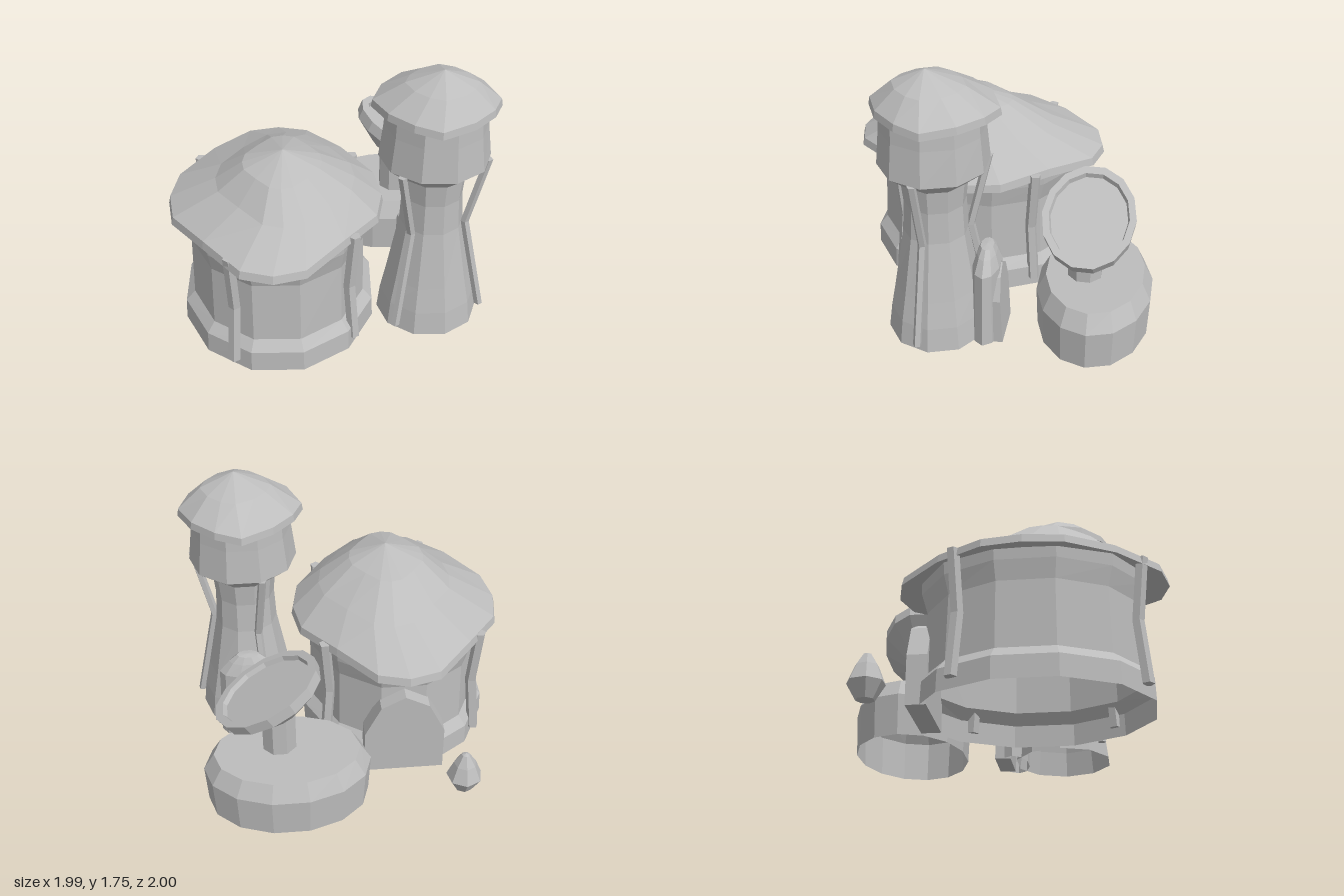
import * as THREE from 'three';

const stone = new THREE.MeshStandardMaterial({ color: 0xbdbdbd, flatShading: true, side: THREE.DoubleSide });
stone.name = 'plain grey';

// Unit outline of a regular polygon
const polygon = (n, phase = 0) => Array.from({ length: n }, (_, i) => {
  const a = ((i + phase) / n) * Math.PI * 2;
  return [Math.cos(a), Math.sin(a)];
});

// Unit outline made by turning a quarter four times
const fourfold = (quarter) => [0, 1, 2, 3].flatMap((k) => quarter.map(([x, z]) =>
  [[x, z], [-z, x], [-x, -z], [z, -x]][k]));

// Joins rings of equal point count, listed from bottom to top
function loft(name, rings) {
  const n = rings[0].length, index = [];
  for (let i = 0; i < rings.length - 1; i++) {
    for (let j = 0; j < n; j++) {
      const a = i * n + j, b = i * n + (j + 1) % n;
      index.push(a, a + n, b, b, a + n, b + n);
    }
  }
  const indexed = new THREE.BufferGeometry();
  indexed.setAttribute('position', new THREE.Float32BufferAttribute(rings.flat(2), 3));
  indexed.setIndex(index);
  const geometry = indexed.toNonIndexed();
  geometry.computeVertexNormals();
  const mesh = new THREE.Mesh(geometry, stone);
  mesh.name = name;
  return mesh;
}

// Stacks an outline along a profile of [y, rx, rz]
const turned = (name, outline, cx, cz, profile) => loft(name, profile.map(([y, rx, rz = rx]) =>
  outline.map(([x, z]) => [cx + x * rx, y, cz + z * rz])));

// Roof with a wavy rim: rows of [scale, y, centre x, centre z, wave]
const roof = (name, outline, rx, rz, rows) => loft(name, rows.map(([s, y, cx, cz, wave]) =>
  outline.map(([x, z]) => [cx + x * rx * s, y + wave * (1 - Math.hypot(x, z)), cz + z * rz * s])));

// Bent five-sided post through three points
function post(name, radius, points) {
  const outline = polygon(5, 0.3);
  const rings = points.map(([x, y, z]) => outline.map(([u, v]) => [x + u * radius, y, z + v * radius]));
  const tip = ([x, y, z]) => outline.map(() => [x, y, z]);
  return loft(name, [tip(points[0]), ...rings, tip(points[points.length - 1])]);
}

// Pointed arch slab facing the back
function archDoor(name, cx, z, depth, half, shoulder, peak) {
  const shape = new THREE.Shape([
    [-half, 0], [half, 0], [half, shoulder], [half * 0.6, shoulder + (peak - shoulder) * 0.72],
    [0, peak], [-half * 0.6, shoulder + (peak - shoulder) * 0.72], [-half, shoulder],
  ].map(([x, y]) => new THREE.Vector2(x, y)));
  const mesh = new THREE.Mesh(new THREE.ExtrudeGeometry(shape, { depth, bevelEnabled: false }), stone);
  mesh.name = name;
  mesh.position.set(cx, 0, z);
  return mesh;
}

function createHut() {
  const hut = new THREE.Group();
  hut.name = 'hut';
  hut.add(turned('hutWall', polygon(12, 0.5).map(([x, z]) => [x * 1.025, z * 1.025]), -0.333, 0.2, [
    [0, 0.597, 0.69], [0.135, 0.592, 0.685], [0.2, 0.535, 0.635], [0.6, 0.53, 0.62],
    [0.72, 0.55, 0.655], [0.8, 0.555, 0.66],
  ]));
  const outline = fourfold([[1, 0], [0.94, 0.29], [0.63, 0.63], [0.29, 0.94]]);
  hut.add(roof('hutRoof', outline, 0.66, 0.805, [
    [0.8, 0.79, -0.34, 0.195, 0.2], [1, 0.76, -0.34, 0.195, 0.25], [0.985, 0.81, -0.34, 0.195, 0.25],
    [0.64, 0.965, -0.28, 0.23, 0.1], [0.36, 1.11, -0.295, 0.275, 0], [0, 1.2, -0.29, 0.285, 0],
  ]));
  // Posts lean in at the middle
  for (const [x, z] of [[-0.595, 0.84], [0.13, 0.64], [0.14, -0.23], [-0.83, -0.21]]) {
    const mx = -0.333 + (x + 0.333) * 0.94, mz = 0.2 + (z - 0.2) * 0.94;
    hut.add(post('hutPost', 0.037, [[x, 0.06, z], [mx, 0.44, mz], [x, 0.825, z]]));
  }
  hut.add(archDoor('hutDoor', -0.333, -0.505, 0.12, 0.25, 0.3, 0.585));
  return hut;
}

function createTower() {
  const tower = new THREE.Group();
  tower.name = 'tower';
  const cx = 0.61, cz = 0.29;
  tower.add(turned('towerWall', polygon(10), cx, cz, [
    [0, 0.318, 0.305], [0.155, 0.3, 0.285], [0.325, 0.265, 0.255], [0.7, 0.195], [0.9, 0.185],
    [1.05, 0.2], [1.16, 0.335, 0.328], [1.38, 0.308], [1.52, 0.3],
  ]));
  const outline = fourfold([[1, 0], [0.84, 0.41], [0.5, 0.78]]);
  tower.add(roof('towerRoof', outline, 0.382, 0.382, [
    [0.78, 1.5, 0.608, 0.275, 0], [1, 1.485, 0.608, 0.275, 0.2], [0.98, 1.53, 0.608, 0.275, 0.2],
    [0.56, 1.655, 0.63, 0.3, 0], [0, 1.745, 0.637, 0.32, 0],
  ]));
  // Three braces around the shaft
  for (const degrees of [10, 130, 250]) {
    const a = THREE.MathUtils.degToRad(degrees);
    tower.add(post('towerBrace', 0.027, [[0.335, 0.06], [0.208, 0.7], [0.32, 1.16]].map(([r, y]) =>
      [cx + Math.cos(a) * r, y, cz + Math.sin(a) * r])));
  }
  // Rounded porch with a flat door
  tower.add(turned('porch', polygon(10), 0.615, -0.02, [
    [0, 0.195, 0.09], [0.49, 0.185, 0.085], [0.57, 0.12, 0.06], [0.615, 0.07, 0.04], [0.62, 0, 0],
  ]));
  const door = archDoor('towerDoor', 0.61, -0.135, 0.1, 0.145, 0.3, 0.49);
  door.rotation.x = 0.05;
  tower.add(door);
  return tower;
}

function createDishStand() {
  const stand = new THREE.Group();
  stand.name = 'dishStand';
  stand.add(turned('dishBase', polygon(14), 0.405, -0.65, [
    [0, 0.495, 0.345], [0.25, 0.51, 0.355], [0.36, 0.445, 0.3], [0.36, 0, 0],
  ]));
  stand.add(turned('dishStem', polygon(8, 0.5), 0.45, -0.59, [[0.35, 0.108], [0.7, 0.108]]));
  // Shallow bowl tilted towards +x
  const dish = turned('dish', polygon(14, 0.5), 0, 0, [
    [-0.2, 0, 0], [-0.2, 0.15, 0.12], [-0.075, 0.335, 0.27], [0, 0.345, 0.277],
    [0, 0.295, 0.237], [-0.03, 0.285, 0.228], [-0.03, 0, 0],
  ]);
  dish.position.set(0.52, 0.815, -0.605);
  dish.rotation.z = -0.5;
  stand.add(dish);
  return stand;
}

export function createModel() {
  const model = new THREE.Group();
  model.name = 'settlement';
  model.add(createHut(), createTower(), createDishStand());
  // Small spindle-shaped pod on the ground
  model.add(turned('pod', polygon(7, 0.25), -0.685, -0.703, [
    [0, 0, 0], [0, 0.055], [0.1, 0.112], [0.2, 0.07], [0.27, 0.025], [0.28, 0],
  ]));
  return model;
}
